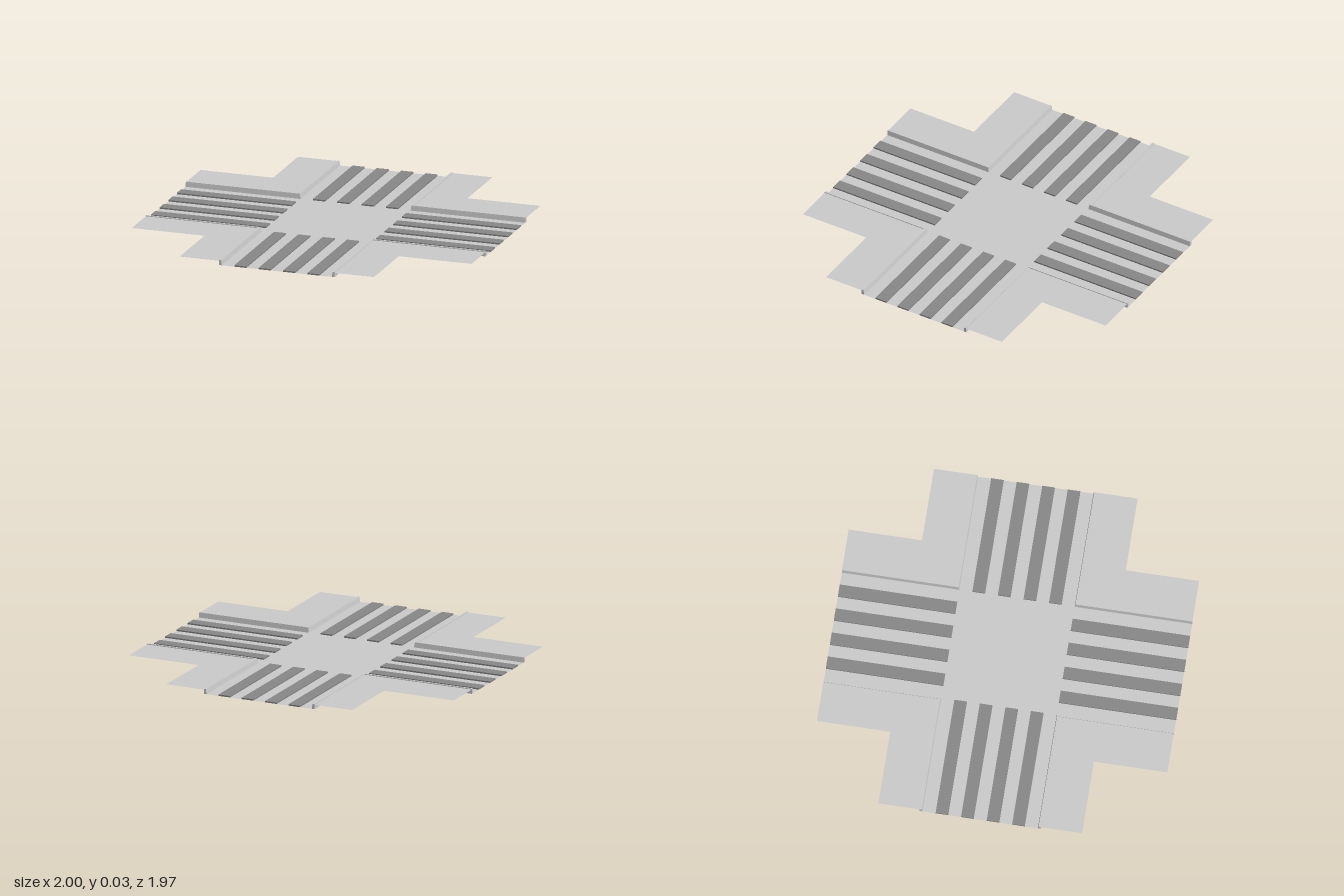
import * as THREE from 'three';

const X = 1, Z = 0.984;          // half size of the crossing
const CURB = 0.324, WALK = 0.34; // inner and outer edge of the curb
const EDGE = 0.572;              // outer edge of the sidewalks
const CURB_H = 0.029, WALK_H = 0.025;

const grey = new THREE.MeshStandardMaterial({ color: 0xcccccc });
const sheet = new THREE.MeshStandardMaterial({ color: 0xcccccc, side: THREE.DoubleSide });
const paint = new THREE.MeshStandardMaterial({ color: 0x888888 });

// Shape on the ground from [x, z] points
const ground = (pts) => new THREE.Shape(pts.map(([x, z]) => new THREE.Vector2(x, -z)));

function part(name, geometry, material) {
  const mesh = new THREE.Mesh(geometry, material);
  mesh.name = name;
  return mesh;
}

function flat(name, pts, y) {
  return part(name, new THREE.ShapeGeometry(ground(pts)).rotateX(-Math.PI / 2).translate(0, y, 0), sheet);
}

// L-shaped curb with road-side faces leaning slightly back
function curb(sx, sz) {
  const pts = [[X, CURB], [CURB, CURB], [CURB, Z], [WALK, Z], [WALK, WALK], [X, WALK]];
  const geo = new THREE.ExtrudeGeometry(ground(pts.map(([x, z]) => [x * sx, z * sz])),
    { depth: CURB_H, bevelEnabled: false }).rotateX(-Math.PI / 2);
  const p = geo.attributes.position;
  const lean = (v) => (Math.abs(Math.abs(v) - CURB) < 1e-4 ? v + Math.sign(v) * 0.004 : v);
  for (let i = 0; i < p.count; i++) {
    if (p.getY(i) > CURB_H / 2) p.setXYZ(i, lean(p.getX(i)), p.getY(i), lean(p.getZ(i)));
  }
  geo.computeVertexNormals();
  return part('curb', geo, grey);
}

export function createModel() {
  const model = new THREE.Group();
  model.name = 'crossroads';

  // Cross-shaped road surface
  const c = CURB;
  model.add(flat('road', [
    [-c, -Z], [c, -Z], [c, -c], [X, -c], [X, c], [c, c],
    [c, Z], [-c, Z], [-c, c], [-X, c], [-X, -c], [-c, -c],
  ], 0));

  // Raised corner sidewalks and their curbs
  for (const sx of [-1, 1]) for (const sz of [-1, 1]) {
    const corner = new THREE.Group();
    corner.name = 'corner';
    const pts = [[WALK, WALK], [X, WALK], [X, EDGE], [EDGE, EDGE], [EDGE, Z], [WALK, Z]];
    corner.add(flat('sidewalk', pts.map(([x, z]) => [x * sx, z * sz]), WALK_H), curb(sx, sz));
    model.add(corner);
  }

  // Four painted stripes on each arm
  const w = 0.071, h = 0.008;
  for (const s of [-1, 1]) for (const t of [-0.215, -0.072, 0.072, 0.215]) {
    const alongX = part('stripe', new THREE.BoxGeometry(X - c, h, w), paint);
    alongX.position.set(s * (X + c) / 2, h / 2, t);
    const alongZ = part('stripe', new THREE.BoxGeometry(w, h, Z - c), paint);
    alongZ.position.set(t, h / 2, s * (Z + c) / 2);
    model.add(alongX, alongZ);
  }
  return model;
}
